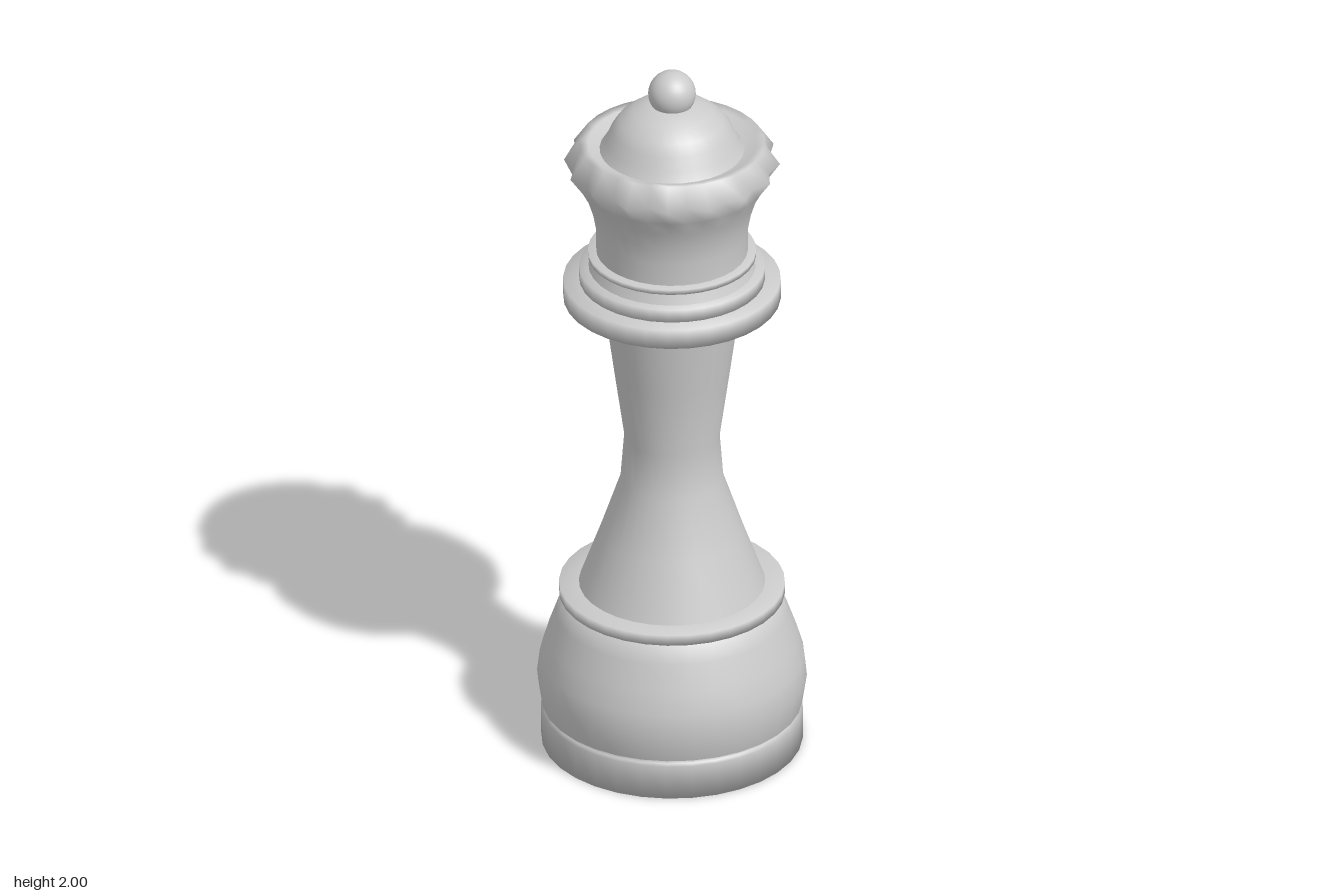
import * as THREE from 'three';
import { mergeVertices } from 'three/addons/utils/BufferGeometryUtils.js';

const SIDES = 32;

export function createModel() {
  const model = new THREE.Group();
  model.name = 'chessQueen';
  const material = new THREE.MeshStandardMaterial({ color: 0xcccccc, side: THREE.DoubleSide });

  const add = (name, geometry) => {
    const mesh = new THREE.Mesh(geometry, material);
    mesh.name = name;
    model.add(mesh);
    return mesh;
  };
  // Turned part from [radius, height] pairs, bottom to top
  const turned = (profile) =>
    new THREE.LatheGeometry(profile.map(([r, y]) => new THREE.Vector2(r, y)), SIDES);

  // Foot disc with a narrow groove above it
  add('foot', turned([[0, 0], [0.345, 0], [0.345, 0.095], [0.333, 0.098], [0.333, 0.11]]));

  // Bulging body
  add('body', turned([
    [0.333, 0.11], [0.344, 0.112], [0.356, 0.19], [0.349, 0.25],
    [0.331, 0.31], [0.306, 0.38], [0.284, 0.435], [0.24, 0.437],
  ]));
  add('bodyRing', turned([[0.24, 0.435], [0.298, 0.435], [0.298, 0.465], [0.22, 0.467]]));

  // Waisted stem
  add('stem', turned([
    [0.247, 0.463], [0.19, 0.62], [0.136, 0.78], [0.126, 0.91], [0.154, 1.11], [0.185, 1.34],
  ]));

  // Stepped collar under the crown
  add('lowerCollar', turned([[0.17, 1.325], [0.287, 1.325], [0.287, 1.38], [0.2, 1.383]]));
  add('middleCollar', turned([[0.2, 1.38], [0.245, 1.38], [0.245, 1.418], [0.19, 1.42]]));
  add('upperCollar', turned([[0.222, 1.415], [0.214, 1.435], [0.208, 1.452]]));
  add('collarRing', turned([[0.19, 1.452], [0.222, 1.452], [0.222, 1.466], [0.18, 1.468]]));

  // Flared crown: every second vertex of the widest ring is pulled in, leaving 16 points
  const profile = [
    [0.2, 1.46], [0.2, 1.53], [0.21, 1.585], [0.226, 1.635], [0.25, 1.68],
    [0.285, 1.73], [0.244, 1.79], [0.222, 1.786], [0.2, 1.772], [0.17, 1.768],
  ];
  const widest = 5;
  let crown = turned(profile);
  const position = crown.attributes.position;
  for (let side = 0; side <= SIDES; side += 2) {
    const i = side * profile.length + widest;
    const s = 0.262 / 0.285;
    position.setXYZ(i, position.getX(i) * s, position.getY(i), position.getZ(i) * s);
  }
  crown.deleteAttribute('uv');
  crown.deleteAttribute('normal');
  crown = mergeVertices(crown, 1e-5);
  crown.computeVertexNormals();
  add('crown', crown);

  // Dome and ball finial
  add('dome', turned([
    [0.195, 1.765], [0.175, 1.795], [0.16, 1.83], [0.139, 1.86], [0.104, 1.887], [0.06, 1.905], [0, 1.912],
  ]));
  add('ball', new THREE.SphereGeometry(0.063, SIDES, 16)).position.y = 1.937;

  return model;
}
